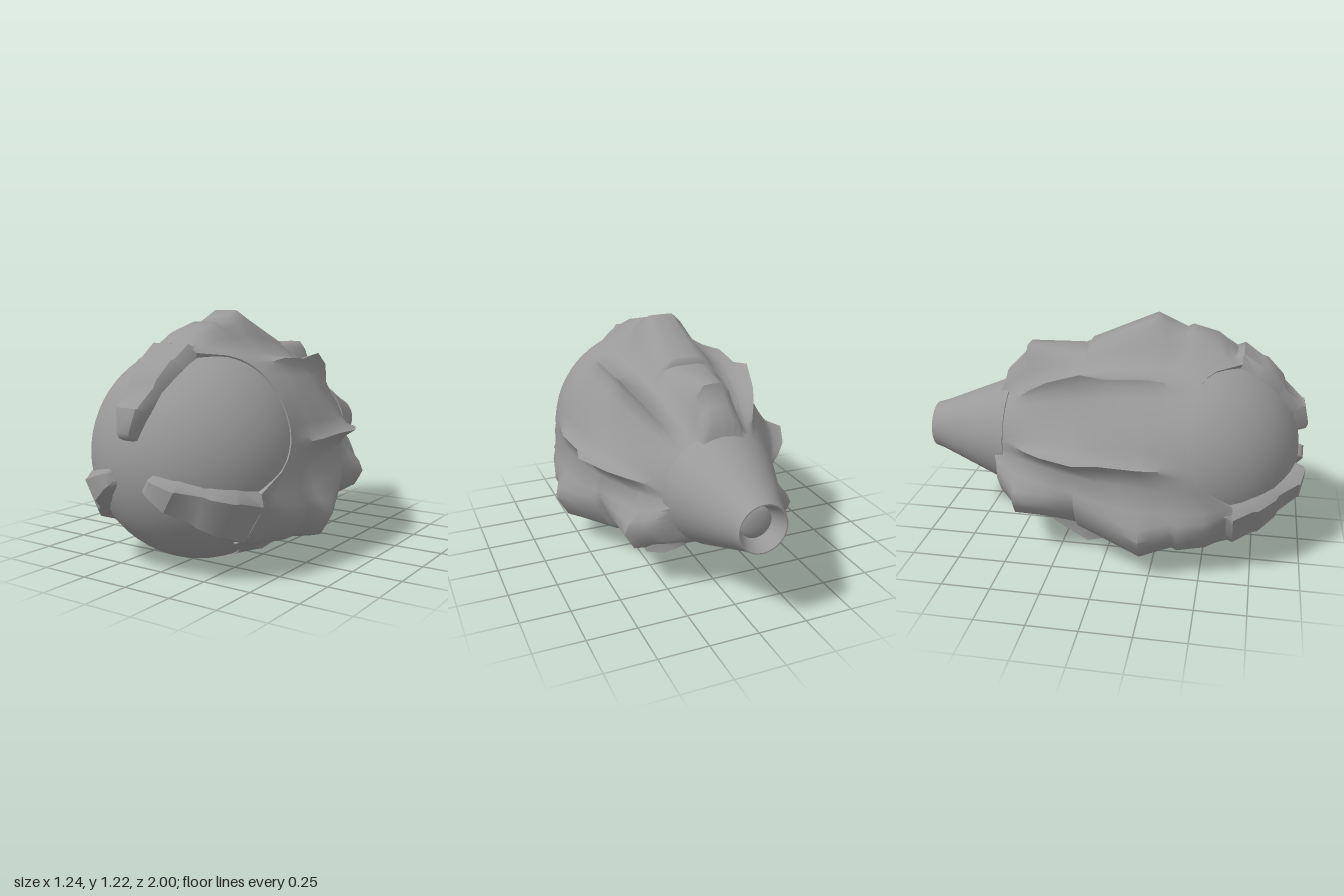
import * as THREE from 'three';
import { toCreasedNormals } from 'three/addons/utils/BufferGeometryUtils.js';

const { lerp, clamp, degToRad } = THREE.MathUtils;
const AXIS_Y = 0.54;   // height of the pod's long axis
const DOME_Z = 0.43;   // centre of the front dome
const DOME_R = 0.53;
const RIM_R = 0.538;   // shell radius around the dome

// Piecewise-linear lookup in [z, value] pairs running from front to back
function sample(table, z) {
  if (z >= table[0][0]) return table[0][1];
  for (let i = 1; i < table.length; i++) {
    const [z0, v0] = table[i - 1], [z1, v1] = table[i];
    if (z >= z1) return lerp(v1, v0, (z - z1) / (z0 - z1));
  }
  return table[table.length - 1][1];
}

// Skin over rows of points; rows run front to back, points counter-clockwise
function loft(rows, closed, crease) {
  const n = rows[0].length, index = [];
  for (let i = 0; i < rows.length - 1; i++) {
    for (let j = 0; j < (closed ? n : n - 1); j++) {
      const a = i * n + j, b = i * n + (j + 1) % n;
      index.push(a, a + n, b, b, a + n, b + n);
    }
  }
  const g = new THREE.BufferGeometry();
  g.setAttribute('position', new THREE.Float32BufferAttribute(rows.flat(2), 3));
  g.setIndex(index);
  return toCreasedNormals(g, crease);
}

// Radii along the shell: plain skin, stepped main ridges, thin side fins
const SKIN = [[0.42, RIM_R], [0.2, 0.535], [0, 0.515], [-0.2, 0.455], [-0.4, 0.37], [-0.55, 0.3], [-0.6, 0.26]];
const RIDGE = [[0.65, 0.53], [0.62, 0.515], [0.52, 0.59], [0.39, 0.625], [0.36, 0.61], [0.21, 0.68],
  [-0.13, 0.53], [-0.14, 0.5], [-0.46, 0.5], [-0.47, 0.46], [-0.57, 0.36], [-0.595, 0.27]];
const FIN = [[0.42, RIM_R], [0.27, 0.558], [0.2, 0.57], [0, 0.55], [-0.12, 0.578],
  [-0.3, 0.49], [-0.4, 0.41], [-0.48, 0.33], [-0.6, 0.25]];
const STATIONS = [0.65, 0.62, 0.57, 0.52, 0.45, 0.39, 0.36, 0.27, 0.21, 0.1, 0, -0.12, -0.13, -0.14,
  -0.2, -0.3, -0.4, -0.46, -0.47, -0.52, -0.57, -0.595];

// Half-sector columns, in degrees away from a main ridge, and how far
// each one rises from the skin towards the fin crest
const COLUMNS = [0, 8, 13, 17, 26, 31, 34.5, 37.5, 40, 46, 53, 60];
const FIN_RISE = [0, 0, 0, 0, 0, 0.2, 0.5, 1, 0.45, 0.2, 0.05, 0];

function skinRadius(z) {
  return z > DOME_Z ? Math.sqrt(RIM_R ** 2 - (z - DOME_Z) ** 2) : sample(SKIN, z);
}

// Point of the half-sector profile as [angle, radius, z]
function shellPoint(column, station) {
  const deg = COLUMNS[column];
  const front = deg <= 17 ? 0.65 : DOME_Z + 0.2 * ((60 - deg) / 43) ** 3;
  const z = station > 0.2 ? 0.2 + (station - 0.2) * (front - 0.2) / 0.45 : station;
  const b = skinRadius(z);
  if (column < 4) {
    const s = clamp(b / 0.48, 0.75, 1);
    const u = [0, 0.065, 0.11, 0.145][column] * s;
    const v = lerp(b * 0.97, Math.max(sample(RIDGE, z), b * 0.97), [1, 0.99, 0.72, 0.25][column]);
    return [Math.atan2(u, v), Math.hypot(u, v), z];
  }
  const base = b * lerp(1, 0.965, clamp((0.4 - z) / 0.3, 0, 1));
  const crest = z > DOME_Z ? b : Math.max(sample(FIN, z), base);
  return [degToRad(deg), lerp(base, crest, FIN_RISE[column]), z];
}

function shellGeometry() {
  const rows = STATIONS.map((station) => {
    const row = [];
    for (let k = 0; k < 3; k++) {
      for (let j = 0; j < 22; j++) {
        const mirrored = j > 11;
        const [angle, r, z] = shellPoint(mirrored ? 22 - j : j, station);
        const a = Math.PI / 2 + (mirrored ? k + 1 : k) * Math.PI * 2 / 3 + (mirrored ? -angle : angle);
        row.push([r * Math.cos(a), r * Math.sin(a), z]);
      }
    }
    return row;
  });
  // Rim turned inward onto the dome
  rows.unshift(rows[0].map(([x, y, z]) => [x * 0.92, y * 0.92, z - 0.015]));
  return loft(rows, true, 0.95);
}

// Plated claw lying over the dome: [z, radius, half width] from tip to root
const CLAW = [[0.965, 0.118, 0.028], [0.985, 0.13, 0.043], [0.995, 0.155, 0.051], [0.97, 0.262, 0.08],
  [0.962, 0.262, 0.083], [0.87, 0.345, 0.107], [0.855, 0.38, 0.115], [0.775, 0.46, 0.138],
  [0.745, 0.468, 0.141], [0.655, 0.53, 0.15], [0.62, 0.515, 0.15], [0.54, 0.53, 0.14]];

function clawGeometry() {
  const section = [[-1, 0.1], [-0.92, 0.045], [-0.68, 0], [0.68, 0], [0.92, 0.045], [1, 0.1]];
  const rows = CLAW.map(([z, r, w]) => {
    const dir = new THREE.Vector2(r, z - DOME_Z).normalize();
    return section.map(([u, depth]) => [-u * w, r - dir.x * depth, z - dir.y * depth]);
  });
  // Blunt end sinking into the dome
  rows.unshift(rows[0].map(([x, y, z]) => [x * 0.8, y - 0.008, z - 0.06]));
  return loft(rows, false, 0.75);
}

export function createModel() {
  const model = new THREE.Group();
  model.name = 'ridgedPod';
  const pod = new THREE.Group();
  pod.name = 'pod';
  pod.position.y = AXIS_Y;
  model.add(pod);

  const darkGrey = new THREE.MeshStandardMaterial({ color: 0x999999 });
  const twoSided = new THREE.MeshStandardMaterial({ color: 0x999999, side: THREE.DoubleSide });
  const add = (name, geometry, material = darkGrey) => {
    const mesh = new THREE.Mesh(geometry, material);
    mesh.name = name;
    pod.add(mesh);
    return mesh;
  };

  add('shell', shellGeometry(), twoSided);
  add('frontDome', new THREE.SphereGeometry(DOME_R, 48, 32)).position.z = DOME_Z;

  // Three claws continuing the main ridges over the dome
  const claw = clawGeometry();
  for (let k = 0; k < 3; k++) add('claw' + (k + 1), claw, twoSided).rotation.z = k * Math.PI * 2 / 3;

  // Tapered tail nozzle with a funnel-shaped mouth
  const profile = [[0.25, -0.545], [0.294, -0.55], [0.28, -0.6], [0.19, -0.82], [0.137, -0.95],
    [0.122, -1], [0.116, -1], [0.078, -0.92]].map(([r, z]) => new THREE.Vector2(r, z));
  const nozzle = new THREE.LatheGeometry(profile, 32).rotateX(Math.PI / 2);
  add('tailNozzle', toCreasedNormals(nozzle, 0.6), twoSided);

  // Rounded plug inside the nozzle mouth
  const plug = add('nozzlePlug', new THREE.SphereGeometry(0.08, 24, 16));
  plug.scale.z = 0.35;
  plug.position.z = -0.92;

  return model;
}
